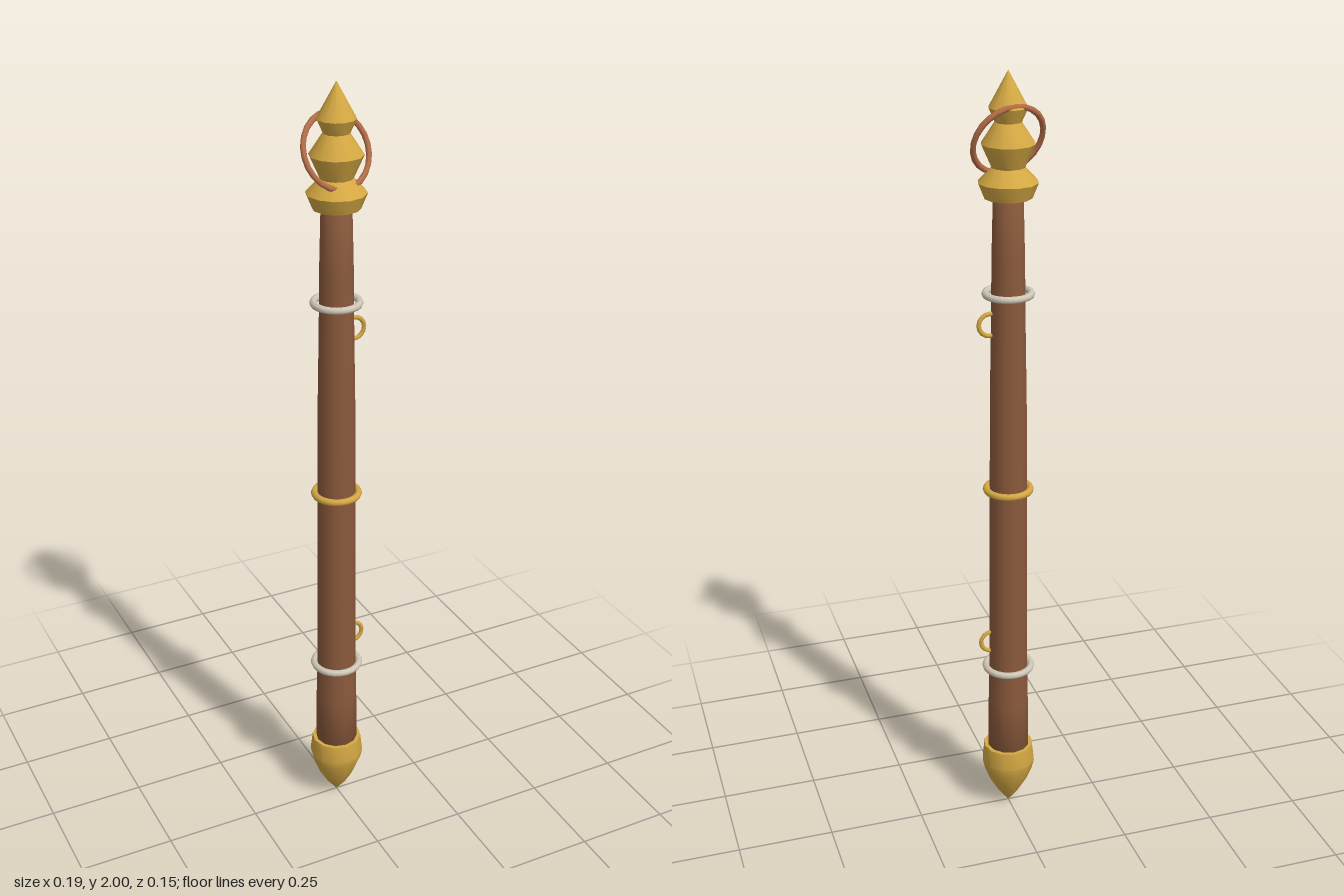
import * as THREE from 'three';
import { toCreasedNormals } from 'three/addons/utils/BufferGeometryUtils.js';

const paint = (name, color) => {
  const m = new THREE.MeshStandardMaterial({ color });
  m.name = name;
  return m;
};

export function createModel() {
  const model = new THREE.Group();
  model.name = 'staff';
  const wood = paint('brown wood', 0x8b5a3c);
  const gold = paint('gold', 0xd4a843);
  const silver = paint('silver', 0xd0c8b8);
  const copper = paint('copper', 0xb8704a);

  const add = (name, geometry, material) => {
    const mesh = new THREE.Mesh(geometry, material);
    mesh.name = name;
    model.add(mesh);
    return mesh;
  };
  const lathe = (profile, sides) =>
    new THREE.LatheGeometry(profile.map(([r, y]) => new THREE.Vector2(r, y)), sides);

  // Tapered shaft, with normals softened into its ends
  add('shaft', lathe([
    [0, 0.185], [0.056, 0.185], [0.054, 0.33], [0.0505, 0.51], [0.049, 0.81],
    [0.047, 1.18], [0.043, 1.4], [0.041, 1.56], [0.037, 1.715], [0, 1.715],
  ], 12), wood);

  // Pointed foot
  add('foot', toCreasedNormals(lathe([
    [0, 0], [0.027, 0.035], [0.05, 0.075], [0.066, 0.115], [0.072, 0.14],
    [0.066, 0.19], [0, 0.19],
  ], 12), 0.6), gold);

  // Stacked finial ending in a spike
  add('finial', toCreasedNormals(lathe([
    [0, 1.705], [0.058, 1.705], [0.073, 1.742], [0.04, 1.777],
    [0.065, 1.832], [0.032, 1.882], [0.047, 1.915], [0, 2],
  ], 12), 0.6), gold);

  // Bands around the shaft
  for (const [name, y, radius, material] of [
    ['lowerBand', 0.435, 0.06, silver],
    ['middleBand', 0.953, 0.056, gold],
    ['upperBand', 1.47, 0.056, silver],
  ]) {
    const band = add(name, new THREE.TorusGeometry(radius, 0.009, 8, 24), material);
    band.rotation.x = Math.PI / 2;
    band.position.y = y;
  }

  // Carrying loops on the left side
  for (const [name, y] of [['lowerLoop', 0.515], ['upperLoop', 1.395]]) {
    const loop = add(name, new THREE.TorusGeometry(0.028, 0.006, 6, 16), gold);
    loop.position.set(0.047, y, 0);
  }

  // Tilted ring hanging about the finial
  const ring = add('finialRing', new THREE.TorusGeometry(0.09, 0.0075, 6, 24), copper);
  ring.rotation.set(-0.42, 0.18, 0, 'YXZ');
  ring.position.y = 1.84;

  return model;
}
